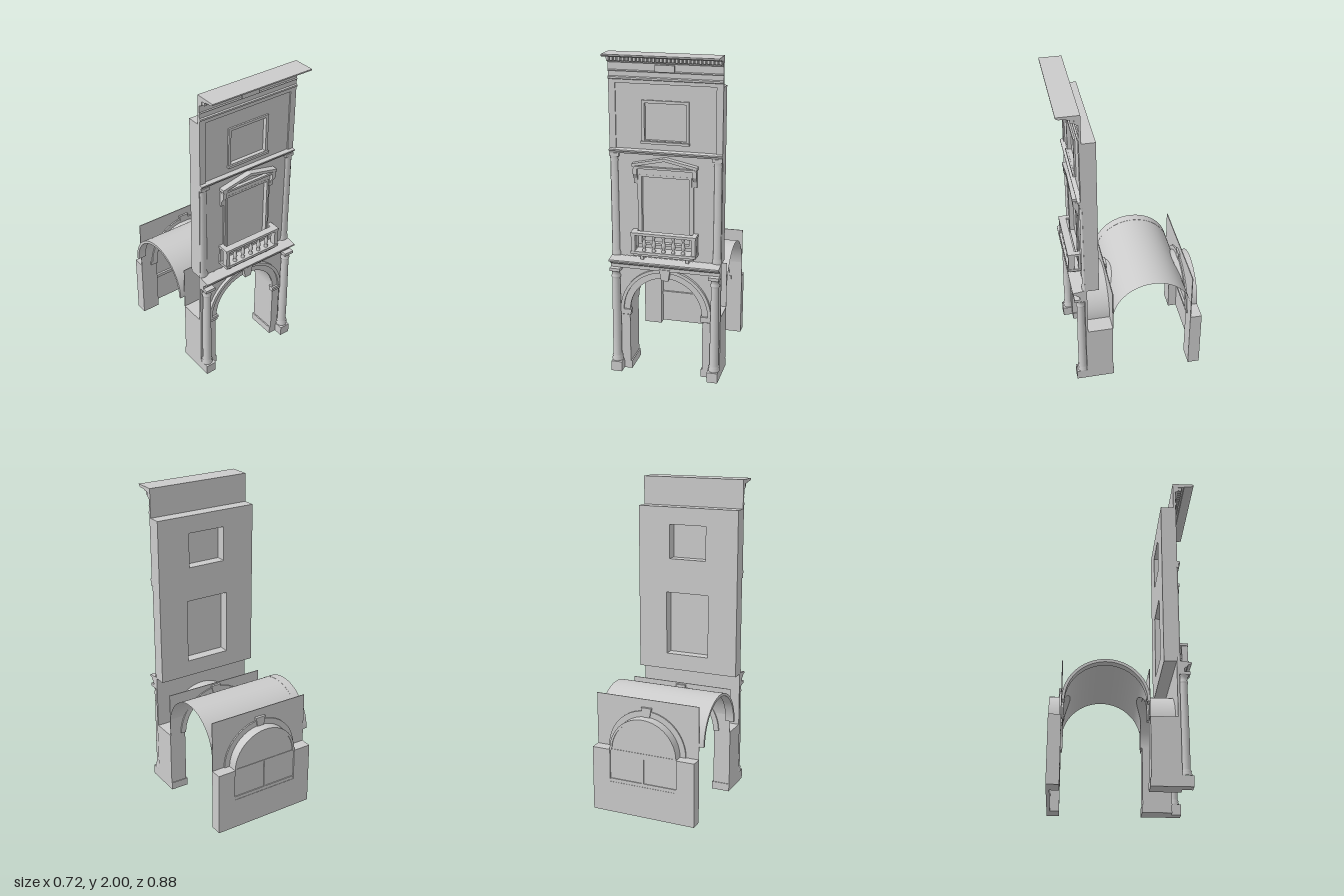
import * as THREE from 'three';
import { toCreasedNormals } from 'three/addons/utils/BufferGeometryUtils.js';

const solid = new THREE.MeshStandardMaterial({ color: 0xcccccc });
const thin = new THREE.MeshStandardMaterial({ color: 0xcccccc, side: THREE.DoubleSide });
const SPRING = 0.41, FRONT_R = 0.23, BACK_R = 0.222; // arches
const VAULT_Y = 0.49, VAULT_Z = -0.1125, VAULT_R = 0.2525; // barrel vault
const W = 0.34; // half width of the bay

export function createModel() {
  const model = new THREE.Group();
  const bay = new THREE.Group();
  bay.name = 'bay';
  bay.position.x = 0.01;
  model.add(bay);

  const add = (name, geo, mat = solid) => {
    const m = new THREE.Mesh(geo, mat);
    m.name = name;
    bay.add(m);
    return m;
  };
  // box given by its limits
  const box = (name, x0, x1, y0, y1, z0, z1) => {
    const m = add(name, new THREE.BoxGeometry(x1 - x0, y1 - y0, z1 - z0));
    m.position.set((x0 + x1) / 2, (y0 + y1) / 2, (z0 + z1) / 2);
    return m;
  };
  const pair = (name, x0, x1, y0, y1, z0, z1) => {
    box(name, x0, x1, y0, y1, z0, z1);
    box(name, -x1, -x0, y0, y1, z0, z1);
  };
  const extrude = (name, shape, z0, z1) => {
    const geo = new THREE.ExtrudeGeometry(shape, { depth: z1 - z0, bevelEnabled: false, curveSegments: 24 });
    geo.translate(0, 0, z0);
    return add(name, toCreasedNormals(geo, 0.6));
  };
  const poly = (pts) => new THREE.Shape(pts.map((p) => new THREE.Vector2(...p)));
  const rect = (x0, x1, y0, y1) => poly([[x0, y0], [x1, y0], [x1, y1], [x0, y1]]);
  const frame = (name, x, y0, y1, t, z0, z1) => {
    const s = rect(-x - t, x + t, y0 - t, y1 + t);
    s.holes.push(rect(-x, x, y0, y1));
    extrude(name, s, z0, z1);
  };
  // moulding with a (z, y) profile swept across the bay
  const moulding = (name, pts, half) => {
    const geo = new THREE.ExtrudeGeometry(poly(pts.map(([z, y]) => [-z, y])), { depth: 2 * half, bevelEnabled: false });
    geo.rotateY(Math.PI / 2).translate(-half, 0, 0);
    add(name, geo);
  };
  // wall sheet with an arched opening
  const archWall = (name, r, y0, y1, z0, z1) => {
    const s = new THREE.Shape();
    s.moveTo(-W, y0).lineTo(-r, y0).lineTo(-r, SPRING);
    s.absarc(0, SPRING, r, Math.PI, 0, true);
    s.lineTo(r, y0).lineTo(W, y0).lineTo(W, y1).lineTo(-W, y1);
    extrude(name, s, z0, z1);
  };
  const archRing = (name, r0, r1, z0, z1) => {
    const s = new THREE.Shape();
    s.absarc(0, SPRING, r1, 0, Math.PI, false);
    s.absarc(0, SPRING, r0, Math.PI, 0, true);
    extrude(name, s, z0, z1);
  };
  const soffit = (name, r, z0, z1) => {
    const geo = new THREE.CylinderGeometry(r, r, z1 - z0, 40, 1, true, Math.PI / 2, Math.PI);
    geo.rotateX(Math.PI / 2);
    const m = add(name, geo, thin);
    m.position.set(0, SPRING, (z0 + z1) / 2);
  };
  const keystone = (name, y0, y1, z0, z1) =>
    extrude(name, poly([[-0.022, y0], [0.022, y0], [0.034, y1], [-0.034, y1]]), z0, z1);
  const lathe = (name, pts, x, y, z, n = 20) => {
    const m = add(name, new THREE.LatheGeometry(pts.map((p) => new THREE.Vector2(...p)), n));
    m.position.set(x, y, z);
    return m;
  };
  // surface from a rule on (u, v)
  const sheet = (name, nu, nv, rule) => {
    const geo = new THREE.PlaneGeometry(1, 1, nu, nv);
    const p = geo.attributes.position;
    for (let i = 0; i < p.count; i++) p.setXYZ(i, ...rule(p.getX(i) + 0.5, p.getY(i) + 0.5));
    geo.computeVertexNormals();
    add(name, geo, thin);
  };

  // Ground floor arcade
  archWall('arcadeWall', FRONT_R, 0, 0.76, 0.3, 0.315);
  archWall('arcadeInnerWall', FRONT_R, SPRING, 0.7, 0.137, 0.142);
  soffit('arcadeSoffit', FRONT_R, 0.14, 0.31);
  archRing('archivolt', FRONT_R - 0.004, 0.265, 0.31, 0.325);
  archRing('archivoltRim', 0.265, 0.285, 0.31, 0.335);
  archRing('innerArchivolt', FRONT_R, 0.265, 0.128, 0.14);
  keystone('keystone', 0.63, 0.7, 0.31, 0.35);
  keystone('innerKeystone', 0.635, 0.69, 0.122, 0.14);
  pair('pier', 0.23, W, 0, SPRING, 0.142, 0.312);
  pair('pierPlinth', 0.222, W, 0, 0.05, 0.137, 0.32);
  pair('pilasterStrip', 0.23, 0.285, 0.05, 0.37, 0.31, 0.322);
  pair('impost', 0.222, 0.288, 0.375, 0.395, 0.3, 0.33);
  pair('impostCap', 0.218, 0.292, 0.395, 0.412, 0.3, 0.336);
  pair('columnPedestal', 0.272, W, 0, 0.065, 0.31, 0.38);
  for (const s of [-1, 1]) {
    lathe('column', [[0.034, 0], [0.036, 0.012], [0.03, 0.022], [0.034, 0.03], [0.027, 0.038], [0.028, 0.2],
      [0.024, 0.555], [0.028, 0.56], [0.028, 0.572], [0.024, 0.577], [0.025, 0.595], [0.034, 0.61]], s * 0.31, 0.065, 0.338);
  }
  pair('columnAbacus', 0.275, W, 0.673, 0.692, 0.3, 0.378);
  moulding('entablature', [[0.305, 0.69], [0.345, 0.69], [0.345, 0.712], [0.352, 0.718], [0.362, 0.722],
    [0.368, 0.735], [0.388, 0.74], [0.388, 0.75], [0.31, 0.76]], W);

  // Barrel vault with lunettes over the arches
  const archY = (x) => Math.max(VAULT_Y, SPRING + Math.sqrt(Math.max(0, FRONT_R ** 2 - x * x)));
  sheet('barrelVault', 60, 40, (u, v) => {
    const x = -0.315 + u * (W + 0.315);
    const a0 = Math.asin((archY(x) - VAULT_Y) / VAULT_R);
    const a = a0 + v * (Math.PI - 2 * a0);
    return [x, VAULT_Y + VAULT_R * Math.sin(a), VAULT_Z + VAULT_R * Math.cos(a)];
  });
  for (const s of [-1, 1]) {
    const a0 = Math.asin((VAULT_Y - SPRING) / FRONT_R);
    sheet('lunette', 32, 4, (u, v) => {
      const a = a0 + u * (Math.PI - 2 * a0);
      const y = SPRING + FRONT_R * Math.sin(a);
      const reach = Math.sqrt(Math.max(0, VAULT_R ** 2 - (y - VAULT_Y) ** 2));
      return [FRONT_R * Math.cos(a), y, VAULT_Z + s * (VAULT_R + v * (reach - VAULT_R))];
    });
  }
  const rib = new THREE.Shape();
  rib.absarc(0, 0, VAULT_R + 0.001, 0, Math.PI, false);
  rib.absarc(0, 0, VAULT_R - 0.016, Math.PI, 0, true);
  const ribGeo = new THREE.ExtrudeGeometry(rib, { depth: 0.055, bevelEnabled: false, curveSegments: 32 });
  ribGeo.rotateY(Math.PI / 2);
  add('vaultRib', toCreasedNormals(ribGeo, 0.6)).position.set(-0.37, VAULT_Y, VAULT_Z);

  // Rear wall with a closed arch
  archWall('rearWall', BACK_R, SPRING, 0.74, -0.369, -0.364);
  archRing('rearArchivolt', BACK_R, 0.258, -0.378, -0.355);
  keystone('rearKeystone', 0.625, 0.69, -0.385, -0.352);
  soffit('rearSoffit', BACK_R, -0.44, -0.365);
  pair('rearPier', BACK_R, W, 0, SPRING, -0.44, -0.365);
  pair('rearImpost', BACK_R - 0.004, 0.27, 0.385, SPRING, -0.37, -0.356);
  archRing('rearArchRim', BACK_R - 0.014, BACK_R, -0.44, -0.425);
  const tympanum = new THREE.Shape();
  tympanum.absarc(0, SPRING, BACK_R, 0, Math.PI, false);
  extrude('rearTympanum', tympanum, -0.434, -0.428);
  box('rearPanel', -BACK_R, BACK_R, 0.2, SPRING, -0.432, -0.426);
  box('rearDado', -BACK_R, BACK_R, 0, 0.2, -0.44, -0.42);
  box('rearSill', -BACK_R, BACK_R, 0.2, 0.222, -0.438, -0.412);
  box('rearTransom', -BACK_R, BACK_R, 0.405, 0.415, -0.437, -0.425);
  box('rearMullion', -0.006, 0.006, 0.2, SPRING, -0.438, -0.43);

  // Upper wall with window openings
  const wall = rect(-W, W, 0.755, 1.82);
  wall.holes.push(rect(-0.145, 0.145, 0.86, 1.27), rect(-0.125, 0.125, 1.49, 1.71));
  extrude('upperWall', wall, 0.225, 0.312);
  box('middlePane', -0.147, 0.147, 0.858, 1.272, 0.292, 0.297);
  box('topPane', -0.127, 0.127, 1.488, 1.712, 0.292, 0.297);

  // Middle floor: pilasters and window surround
  for (const s of [-1, 1]) {
    const shaft = lathe('pilaster', [[0.029, 0], [0.029, 0.02], [0.024, 0.035], [0.022, 0.59], [0.025, 0.6],
      [0.022, 0.61], [0.028, 0.63]], s * 0.314, 0.76, 0.312, 16);
    shaft.scale.z = 0.55;
  }
  pair('pilasterCap', 0.282, W, 1.385, 1.405, 0.3, 0.33);
  frame('windowArchitrave', 0.145, 0.86, 1.27, 0.014, 0.3, 0.326);
  frame('windowOuterFrame', 0.159, 0.86, 1.284, 0.012, 0.3, 0.32);
  box('windowFrieze', -0.172, 0.172, 1.28, 1.325, 0.31, 0.325);
  box('pedimentBase', -0.19, 0.19, 1.322, 1.335, 0.31, 0.345);
  extrude('pedimentPanel', poly([[-0.18, 1.335], [0.18, 1.335], [0, 1.378]]), 0.31, 0.325);
  for (const s of [-1, 1]) {
    const slope = [[0, 1.376], [0, 1.394], [s * 0.197, 1.352], [s * 0.197, 1.334]];
    extrude('pedimentSlope', poly(s > 0 ? slope.reverse() : slope), 0.31, 0.35);
    // scrolled bracket under the pediment
    const bracket = new THREE.ExtrudeGeometry(poly([[-0.31, 1.23], [-0.32, 1.225], [-0.326, 1.26], [-0.345, 1.29],
      [-0.345, 1.322], [-0.31, 1.322]]), { depth: 0.024, bevelEnabled: false });
    bracket.rotateY(Math.PI / 2).translate(s * 0.18 - 0.012, 0, 0);
    add('pedimentBracket', bracket);
  }

  // Balcony
  box('balconySlab', -0.2, 0.2, 0.805, 0.822, 0.31, 0.392);
  box('balconySlabLower', -0.185, 0.185, 0.79, 0.805, 0.31, 0.38);
  box('balconyRail', -0.2, 0.2, 0.922, 0.938, 0.345, 0.39);
  pair('balconySideRail', 0.17, 0.2, 0.922, 0.938, 0.31, 0.35);
  pair('balconyPost', 0.172, 0.197, 0.822, 0.922, 0.35, 0.387);
  pair('balconyWallPost', 0.172, 0.197, 0.822, 0.922, 0.31, 0.325);
  pair('balconyBracket', 0.13, 0.15, 0.758, 0.79, 0.31, 0.35);
  for (let i = -2; i <= 2; i++) {
    lathe('baluster', [[0.012, 0], [0.012, 0.01], [0.006, 0.016], [0.014, 0.036], [0.012, 0.05], [0.006, 0.075],
      [0.011, 0.088], [0.011, 0.1]], i * 0.06, 0.822, 0.368, 12);
  }

  // Top floor
  moulding('stringCourse', [[0.31, 1.402], [0.325, 1.405], [0.33, 1.415], [0.338, 1.42], [0.338, 1.428], [0.31, 1.435]], W);
  const border = rect(-W, W, 1.43, 1.845);
  border.holes.push(rect(-0.3, 0.3, 1.432, 1.82));
  extrude('topFloorBorder', border, 0.305, 0.32);
  frame('topWindowFrame', 0.125, 1.49, 1.71, 0.017, 0.3, 0.322);
  box('topWindowSill', -0.145, 0.145, 1.472, 1.487, 0.31, 0.332);

  // Crowning entablature
  moulding('crown', [[0.305, 1.82], [0.318, 1.82], [0.318, 1.84], [0.328, 1.845], [0.328, 1.855], [0.32, 1.86],
    [0.32, 1.888], [0.326, 1.892], [0.32, 1.897], [0.32, 1.938], [0.335, 1.945], [0.34, 1.952], [0.34, 1.973],
    [0.375, 1.976], [0.38, 1.982], [0.425, 1.984], [0.44, 1.992], [0.44, 2], [0.305, 2]], W);
  box('plaque', -0.058, 0.058, 1.893, 1.933, 0.31, 0.332);
  const dentils = 30;
  for (let i = 0; i < dentils; i++) {
    const x = -W + ((i + 0.5) * 2 * W) / dentils;
    box('dentil', x - 0.007, x + 0.007, 1.953, 1.974, 0.335, 0.362);
  }
  return model;
}
